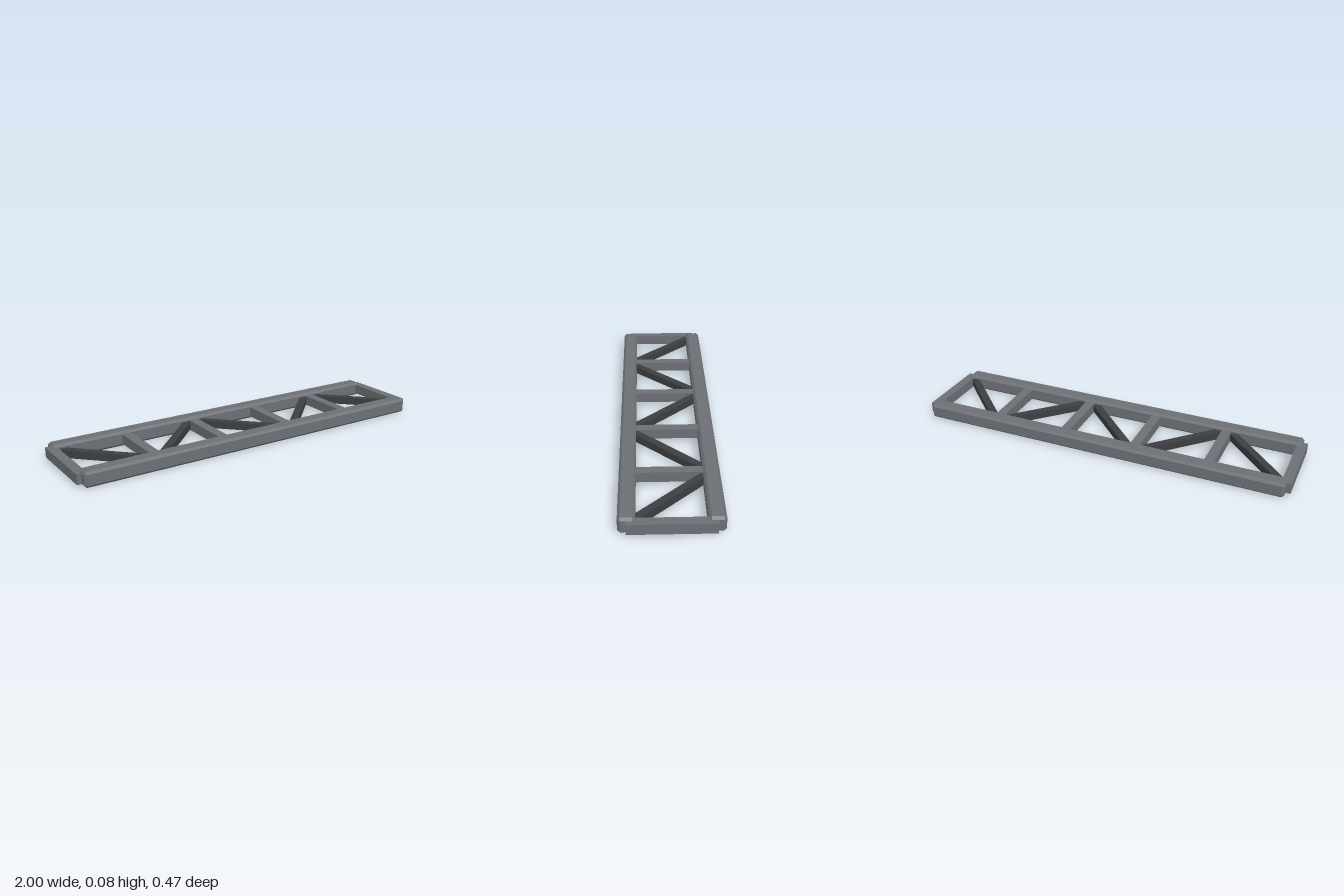
import * as THREE from 'three';
import { ConvexGeometry } from 'three/addons/geometries/ConvexGeometry.js';

const MID_Y = 0.039, RAIL_Z = 0.195, BAY = 0.39;

// Box with every edge cut at 45 degrees
function chamferedBox(w, h, d, c) {
  const points = [];
  for (const sx of [-1, 1]) for (const sy of [-1, 1]) for (const sz of [-1, 1]) {
    for (let axis = 0; axis < 3; axis++) {
      const inset = [c, c, c];
      inset[axis] = 0;
      points.push(new THREE.Vector3(
        sx * (w / 2 - inset[0]), sy * (h / 2 - inset[1]), sz * (d / 2 - inset[2])));
    }
  }
  return new ConvexGeometry(points);
}

export function createModel() {
  const model = new THREE.Group();
  model.name = 'truss';

  const steel = new THREE.MeshStandardMaterial({ color: 0x6c7075 });
  steel.name = 'grey steel';
  const darkSteel = new THREE.MeshStandardMaterial({ color: 0x3c3e41 });
  darkSteel.name = 'dark steel';

  const add = (name, geometry, material, x, z) => {
    const mesh = new THREE.Mesh(geometry, material);
    mesh.name = name;
    mesh.position.set(x, MID_Y, z);
    model.add(mesh);
    return mesh;
  };

  // Long side rails
  const railGeometry = chamferedBox(1.952, 0.078, 0.078, 0.012);
  add('frontRail', railGeometry, steel, 0, RAIL_Z);
  add('backRail', railGeometry, steel, 0, -RAIL_Z);

  // Cross members at every bay joint
  const jointX = (i) => (i - 2.5) * BAY;
  const crossGeometry = new THREE.BoxGeometry(0.05, 0.052, 0.394);
  for (let i = 0; i < 6; i++) {
    add(`crossMember${i + 1}`, crossGeometry, steel, jointX(i), 0);
  }

  // Zigzag diagonal braces, one per bay
  const braceGeometry = new THREE.BoxGeometry(BAY * Math.SQRT2, 0.039, 0.039);
  for (let i = 0; i < 5; i++) {
    const brace = add(`diagonalBrace${i + 1}`, braceGeometry, darkSteel, (jointX(i) + jointX(i + 1)) / 2, 0);
    brace.rotation.y = (i % 2 ? 1 : -1) * Math.PI / 4;
  }

  return model;
}
